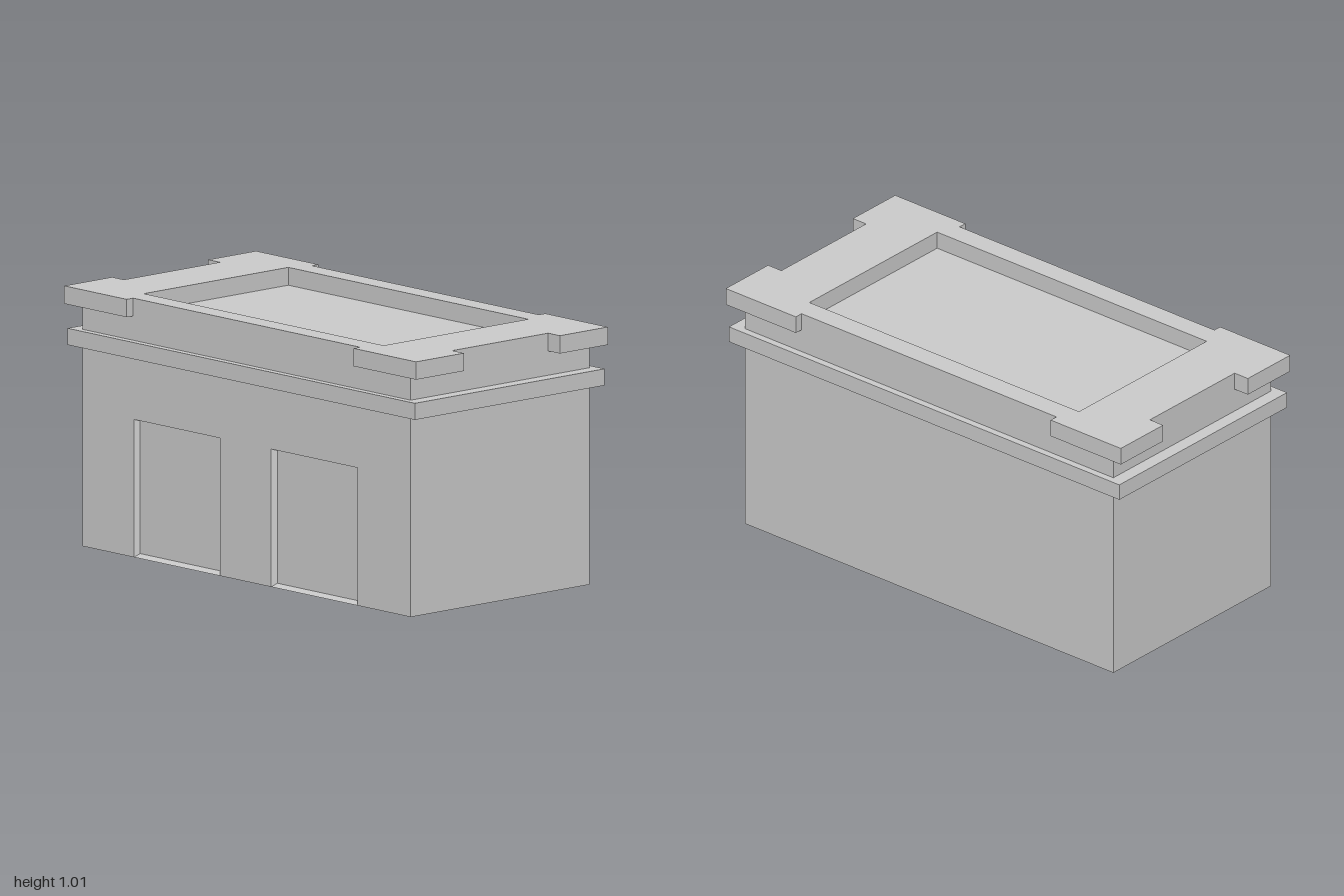
import * as THREE from 'three';

const mat = new THREE.MeshStandardMaterial({ color: 0xcccccc, flatShading: true });

function add(group, name, geometry, x = 0, y = 0, z = 0) {
  const mesh = new THREE.Mesh(geometry, mat);
  mesh.name = name;
  mesh.position.set(x, y, z);
  group.add(mesh);
  return mesh;
}

const shapeOf = (pts) => new THREE.Shape(pts.map(([x, y]) => new THREE.Vector2(x, y)));
const prism = (shape, depth) => new THREE.ExtrudeGeometry(shape, { depth, bevelEnabled: false });

export function createModel() {
  const group = new THREE.Group();
  group.name = 'building';

  const W = 0.933, D = 0.466;        // half width and depth of the walls
  const capY = 0.945, top = 1.015;   // parapet bottom and top
  const inset = 0.015, back = D - inset;
  const doorH = 0.54;
  const doors = [[-0.64, -0.15], [0.14, 0.63]];

  // Main block; its top is the sunken roof floor, its front the door panels
  add(group, 'walls', new THREE.BoxGeometry(2 * W, capY, D + back), 0, capY / 2, (back - D) / 2);

  // Front skin with two doorways cut up from the ground
  const front = [[-W, 0]];
  for (const [a, b] of doors) front.push([a, 0], [a, doorH], [b, doorH], [b, 0]);
  front.push([W, 0], [W, capY], [-W, capY]);
  add(group, 'frontWall', prism(shapeOf(front), inset), 0, 0, back);

  // Slanted jambs and sloping sill in each shallow doorway
  for (const [a, b] of doors) {
    for (const [x, w, name] of [[a, 0.018, 'doorJambRight'], [b, -0.012, 'doorJambLeft']]) {
      const jamb = prism(shapeOf([[x, -D], [x + w, -back], [x, -back]]), doorH);
      add(group, name, jamb.rotateX(-Math.PI / 2));
    }
    const sill = prism(shapeOf([[-D, 0], [-back, 0], [-back, 0.015]]), b - a);
    add(group, 'doorSill', sill.rotateY(Math.PI / 2), a);
  }

  // Projecting band around the walls
  add(group, 'band', new THREE.BoxGeometry(1.976, 0.065, 0.99), 0, 0.8175, 0);

  // Parapet with four overhanging corners, open in the middle
  const nx = 0.645, nz = 0.25;
  const corner = [[1, nz], [1, 0.5], [nx, 0.5], [nx, D]];
  const start = [W, nz];
  const quarter = [start, ...corner];
  const outline = [];
  for (const [sx, sz] of [[1, 1], [-1, 1], [-1, -1], [1, -1]]) {
    const pts = quarter.map(([x, z]) => [x * sx, z * sz]);
    outline.push(...(sx * sz > 0 ? pts : pts.reverse()));
  }
  const parapet = shapeOf(outline);
  const hx = 0.682, hz = 0.377;
  parapet.holes.push(new THREE.Path(
    [[-hx, -hz], [-hx, hz], [hx, hz], [hx, -hz]].map(([x, z]) => new THREE.Vector2(x, z))));
  add(group, 'parapet', prism(parapet, top - capY).rotateX(-Math.PI / 2), 0, capY, 0);

  return group;
}
